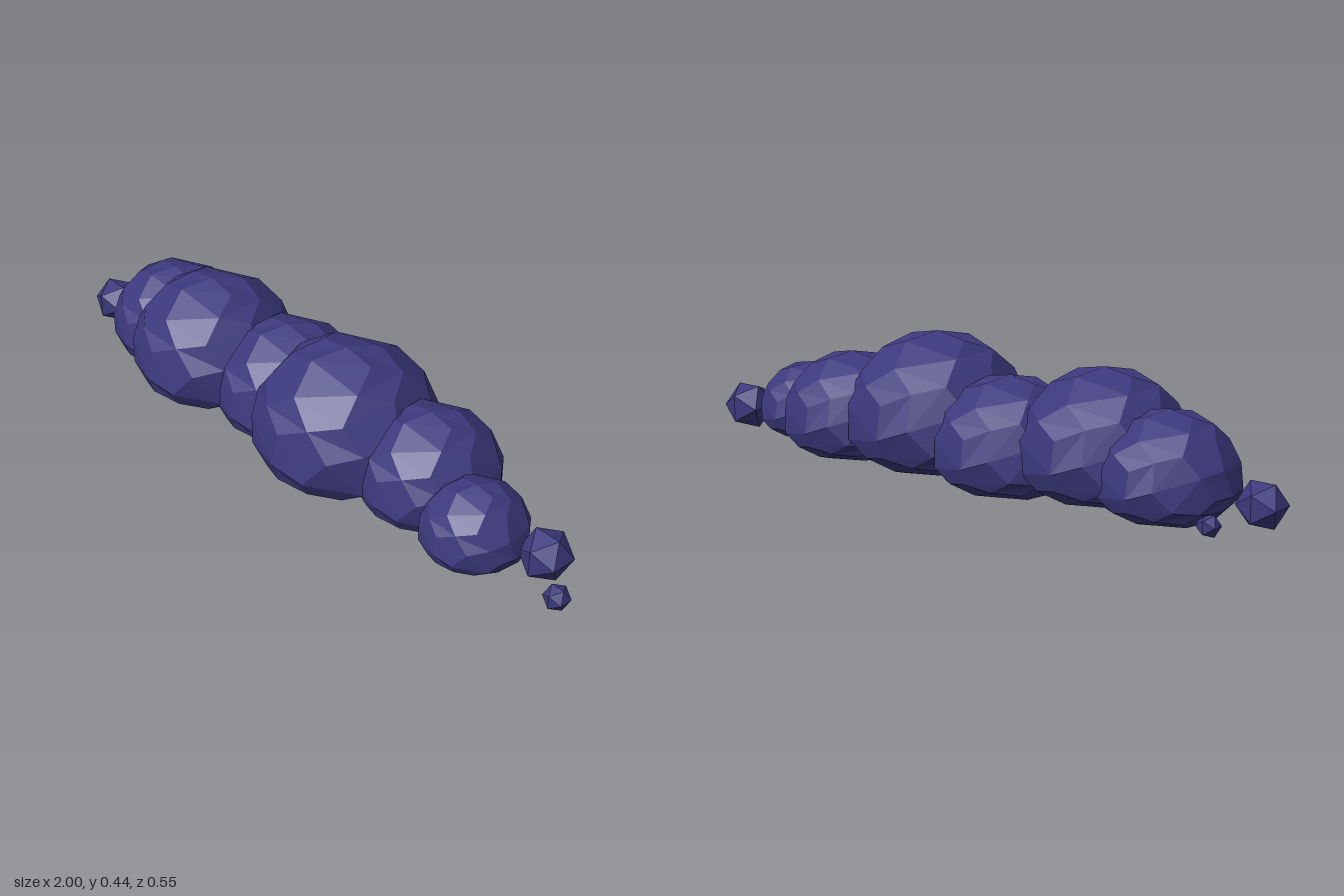
import * as THREE from 'three';

const cloudIndigo = new THREE.MeshStandardMaterial({ color: 0x3c397d });
cloudIndigo.name = 'cloudIndigo';

// Faceted puff whose lower half is squashed to give the cloud a flat base
function puffGeometry(radius) {
  const geometry = new THREE.DodecahedronGeometry(radius, 1);
  const pos = geometry.attributes.position;
  for (let i = 0; i < pos.count; i++) {
    if (pos.getY(i) < 0) pos.setY(i, pos.getY(i) * 0.55);
  }
  geometry.computeVertexNormals(); // unindexed, so every facet stays flat
  return geometry;
}

export function createModel() {
  const group = new THREE.Group();
  group.name = 'cloud';

  const add = (name, geometry, x, y, z) => {
    const mesh = new THREE.Mesh(geometry, cloudIndigo);
    mesh.name = name;
    mesh.position.set(x, y, z);
    group.add(mesh);
  };

  // Main row of puffs: x, y, z, radius
  [
    [-0.675, 0.13, -0.015, 0.205],
    [-0.445, 0.158, 0.02, 0.253],
    [-0.165, 0.13, -0.038, 0.228],
    [0.13, 0.164, 0, 0.277],
    [0.42, 0.135, -0.05, 0.215],
    [0.66, 0.115, 0.012, 0.157],
  ].forEach(([x, y, z, r], i) => add(`puff${i + 1}`, puffGeometry(r), x, y, z));

  // Small loose wisps at both ends: x, y, z, radius
  [
    [-0.94, 0.108, 0.03, 0.072],
    [-0.845, 0.06, -0.08, 0.035],
    [0.855, 0.116, -0.06, 0.078],
    [0.963, 0.077, 0.012, 0.039],
  ].forEach(([x, y, z, r], i) => add(`wisp${i + 1}`, new THREE.IcosahedronGeometry(r, 0), x, y, z));

  return group;
}
